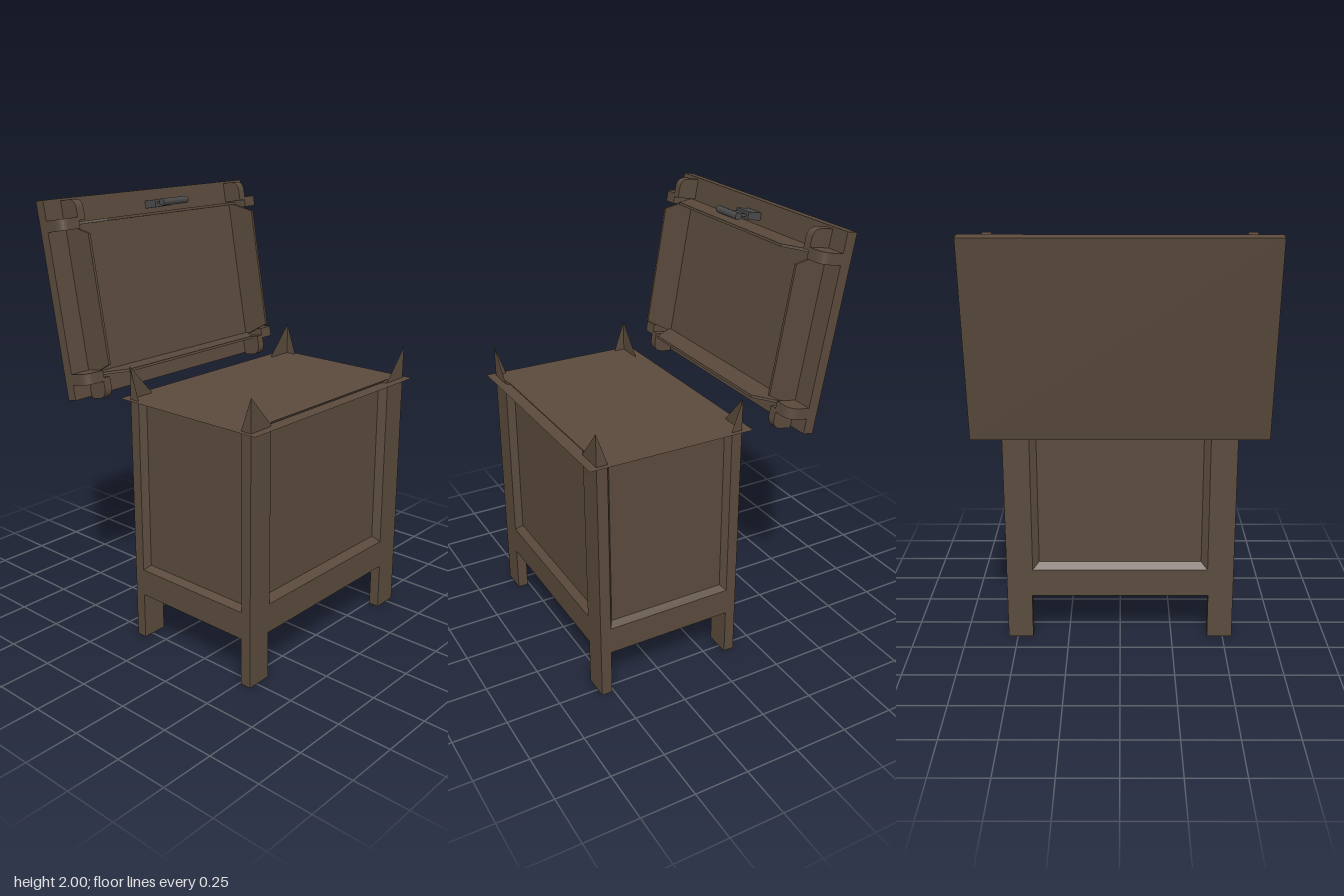
import * as THREE from 'three';

const wood = new THREE.MeshStandardMaterial({ color: 0x5a4a3c, side: THREE.DoubleSide });
const metal = new THREE.MeshStandardMaterial({ color: 0x4a4a4a, side: THREE.DoubleSide });

function add(parent, name, geometry, x = 0, y = 0, z = 0, material = wood) {
  const mesh = new THREE.Mesh(geometry, material);
  mesh.name = name;
  mesh.position.set(x, y, z);
  parent.add(mesh);
  return mesh;
}

const polygon = (points) => new THREE.Shape(points.map(([x, y]) => new THREE.Vector2(x, y)));

// Sloped band between an outer rectangle at z = 0 and an inner one at z = -depth
function bevelRing(outer, inner, depth) {
  const corners = ([w, y0, y1], z) => [[-w, y0, z], [w, y0, z], [w, y1, z], [-w, y1, z]];
  const a = corners(outer, 0), b = corners(inner, -depth), pos = [];
  for (let i = 0; i < 4; i++) {
    const j = (i + 1) % 4;
    pos.push(...a[i], ...a[j], ...b[j], ...a[i], ...b[j], ...b[i]);
  }
  const g = new THREE.BufferGeometry();
  g.setAttribute('position', new THREE.Float32BufferAttribute(pos, 3));
  g.computeVertexNormals();
  return g;
}

// One side of the chest: stiles with mitred points, lower rail, recessed panel
function chestSide(name, half, opening, bevel, outerTop, innerTop, sill) {
  const side = new THREE.Group();
  side.name = name;
  const top = 1.168;
  add(side, 'frame', new THREE.ShapeGeometry(polygon([
    [-half, 0.22], [half, 0.22], [half, 1.31], [opening, top], [opening, sill],
    [-opening, sill], [-opening, top], [-half, 1.31],
  ])));
  const inner = opening - bevel;
  add(side, 'panelBevel', bevelRing([opening, sill, outerTop], [inner, sill + bevel, innerTop], 0.03));
  const height = innerTop - sill - bevel;
  add(side, 'panel', new THREE.PlaneGeometry(inner * 2, height), 0, sill + bevel + height / 2, -0.03);
  return side;
}

// Mitred wall of the lid tray, lying in x-z with its thickness along -y
function trayWall(half, inset, depth) {
  const g = new THREE.ExtrudeGeometry(polygon([
    [-half, 0], [half, 0], [half - inset, depth], [-half + inset, depth],
  ]), { depth: 0.012, bevelEnabled: false });
  return g.rotateX(Math.PI / 2);
}

// Rounded corner strap pointing along +x and standing up along +z
function strap(length, width) {
  const s = new THREE.Shape();
  s.moveTo(0, 0);
  s.lineTo(length, 0);
  s.lineTo(length, 0.05);
  s.quadraticCurveTo(length, 0.1, length - 0.05, 0.1);
  s.lineTo(0, 0.1);
  const g = new THREE.ExtrudeGeometry(s, { depth: width, bevelEnabled: false, curveSegments: 8 });
  return g.translate(0, 0, -width / 2).rotateX(Math.PI / 2);
}

function buildChest() {
  const chest = new THREE.Group();
  chest.name = 'chest';
  chest.position.z = 0.21;

  const front = chestSide('frontSide', 0.545, 0.42, 0.03, 1.18, 1.152, 0.355);
  front.position.z = 0.35;
  const back = chestSide('backSide', 0.545, 0.42, 0.03, 1.16, 1.15, 0.355);
  back.position.z = -0.35;
  back.rotation.y = Math.PI;
  chest.add(front, back);

  for (const s of [1, -1]) {
    const end = chestSide(s > 0 ? 'leftSide' : 'rightSide', 0.35, 0.3, 0.02, 1.16, 1.155, 0.347);
    end.position.x = s * 0.545;
    end.rotation.y = s * Math.PI / 2;
    chest.add(end);
    for (const t of [1, -1]) {
      add(chest, 'leg', new THREE.BoxGeometry(0.12, 0.22, 0.05), s * 0.485, 0.11, t * 0.325);
    }
  }
  add(chest, 'floor', new THREE.PlaneGeometry(1.09, 0.7).rotateX(Math.PI / 2), 0, 0.22, 0);
  add(chest, 'topSheet', new THREE.PlaneGeometry(1.135, 0.785).rotateX(-Math.PI / 2), 0, 1.16, -0.003);
  return chest;
}

function buildLid() {
  const lid = new THREE.Group();
  lid.name = 'lid';
  add(lid, 'lidBoard', new THREE.BoxGeometry(1.29, 0.89, 0.05), 0, 0.445, 0.025);

  // Open tray on the inner face
  const base = 0.05, depth = 0.147;
  add(lid, 'trayTopWall', trayWall(0.545, 0.125, depth), 0, 0.78, base);
  add(lid, 'trayBottomWall', trayWall(0.545, 0.125, depth), 0, 0.102, base);
  for (const s of [1, -1]) {
    const wall = add(lid, 'traySideWall', trayWall(0.345, 0.055, depth), s > 0 ? 0.533 : -0.545, 0.435, base);
    wall.rotation.z = Math.PI / 2;

    // Corner straps: one runs sideways, one towards the lid edge
    for (const [u, t] of [[0.775, 1], [0.095, -1]]) {
      const across = add(lid, 'sideStrap', strap(0.1, 0.05), s * 0.545, u, base);
      across.rotation.z = s > 0 ? 0 : Math.PI;
      const along = add(lid, 'edgeStrap', strap(0.095, 0.04), s * 0.53, u + t * 0.01, base);
      along.rotation.z = t * Math.PI / 2;
    }
  }

  // Latch
  const latch = new THREE.Group();
  latch.name = 'latch';
  latch.position.set(0, 0.82, base);
  add(latch, 'latchMount', new THREE.BoxGeometry(0.1, 0.035, 0.07), 0, 0, 0.035, metal);
  add(latch, 'latchArm', new THREE.BoxGeometry(0.07, 0.012, 0.09), 0, 0, 0.1, metal);
  add(latch, 'latchBar', new THREE.CylinderGeometry(0.017, 0.017, 0.16, 10).rotateZ(Math.PI / 2), 0, 0, 0.145, metal);
  lid.add(latch);

  lid.position.set(0, 1.115, -0.445);
  lid.rotation.x = -0.175;
  return lid;
}

export function createModel() {
  const model = new THREE.Group();
  model.name = 'woodenChest';
  model.add(buildChest(), buildLid());
  return model;
}
